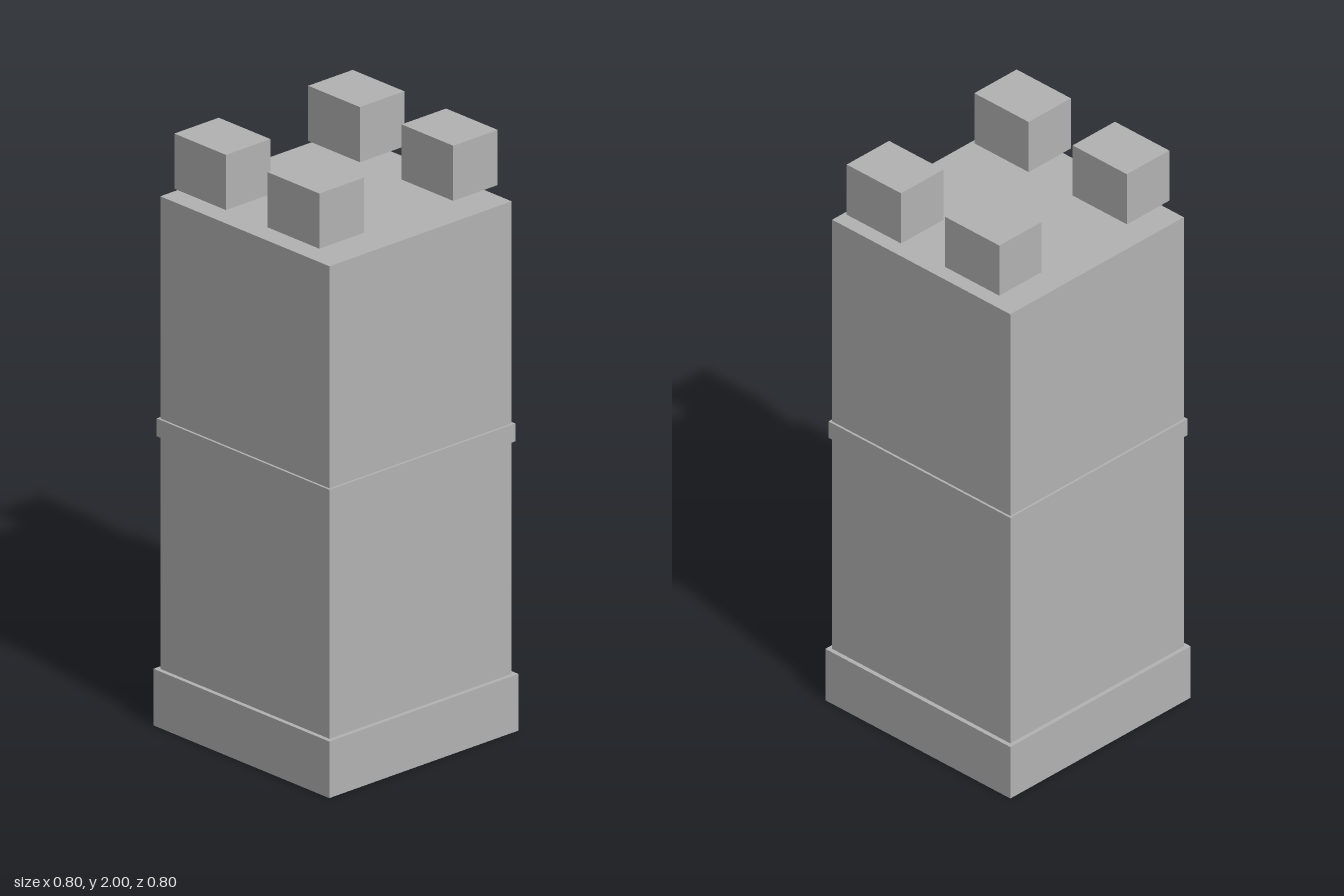
import * as THREE from 'three';

export function createModel() {
  const model = new THREE.Group();
  model.name = 'tower';
  const stone = new THREE.MeshStandardMaterial({ color: 0xb3b3b3 });
  stone.name = 'stone grey';

  // Box given by its width, depth, bottom and top heights, and centre
  function block(name, width, depth, bottom, top, x = 0, z = 0) {
    const mesh = new THREE.Mesh(new THREE.BoxGeometry(width, top - bottom, depth), stone);
    mesh.name = name;
    mesh.position.set(x, (bottom + top) / 2, z);
    model.add(mesh);
  }

  // Plinth, shaft and the thin band round its middle
  block('base', 0.8, 0.8, 0, 0.19);
  block('shaft', 0.77, 0.77, 0.19, 1.775);
  block('band', 0.786, 0.786, 0.97, 1.03);

  // Four battlements hovering just above the corners
  for (const [side, sx] of [['left', 1], ['right', -1]]) {
    for (const [end, sz] of [['Front', 1], ['Back', -1]]) {
      block(`${side}${end}Battlement`, 0.235, 0.188, 1.815, 2, sx * 0.2125, sz * 0.283);
    }
  }
  return model;
}
